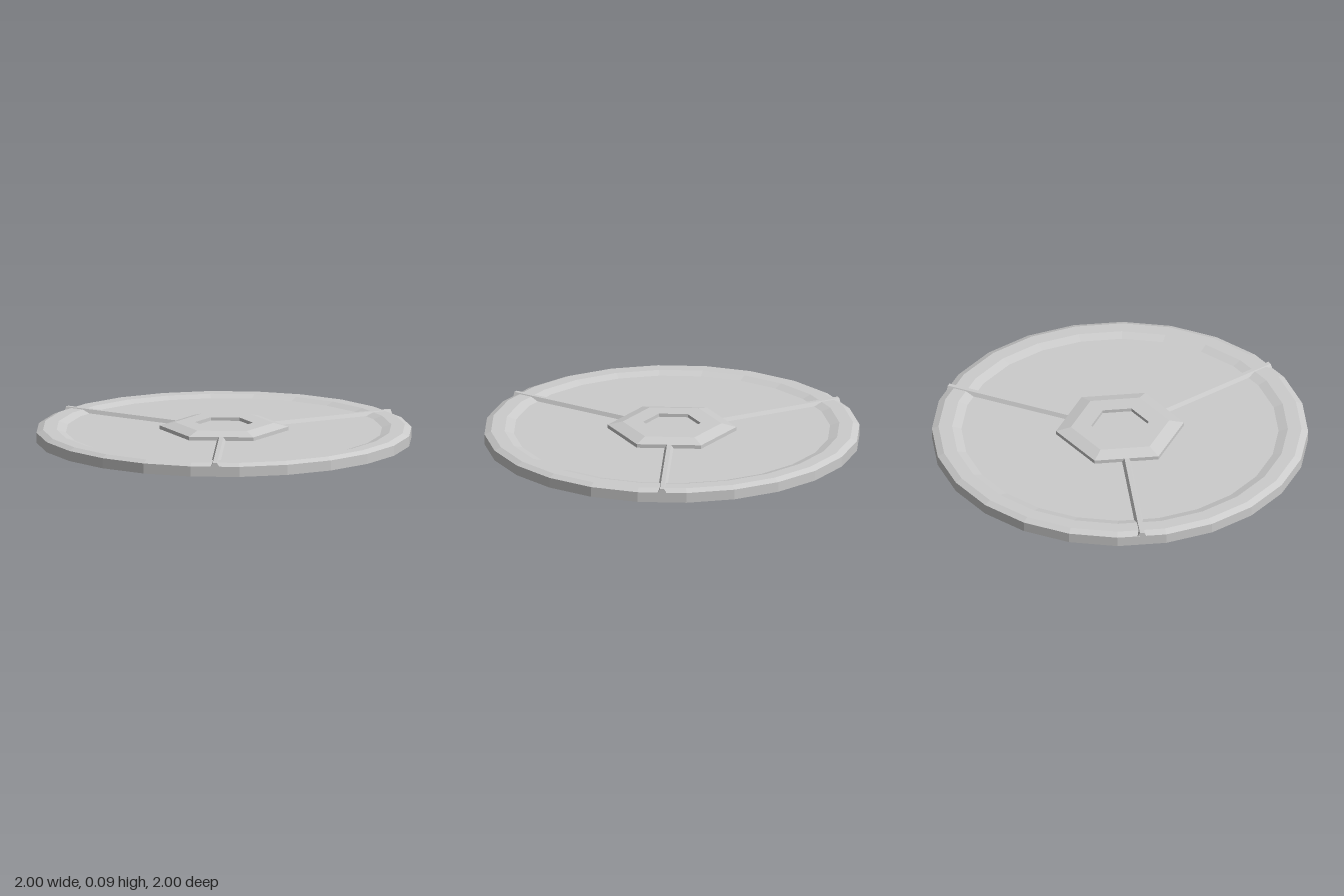
import * as THREE from 'three';

const material = new THREE.MeshStandardMaterial({
  color: 0xcccccc, flatShading: true, side: THREE.DoubleSide,
});

// Faceted turned part from [radius, height] pairs, listed from the outside in
function turned(name, profile, sides, startAngle) {
  const points = profile.map(([r, y]) => new THREE.Vector2(r, y));
  const mesh = new THREE.Mesh(new THREE.LatheGeometry(points, sides, startAngle), material);
  mesh.name = name;
  return mesh;
}

export function createModel() {
  const group = new THREE.Group();
  group.name = 'disc';
  const floorY = 0.055;

  // Thin shell, open below: side wall, chamfer, raised rim, sunken floor
  const R = 1 / Math.cos(Math.PI / 24);
  group.add(turned('plate', [
    [R, 0], [R, 0.055], [0.973, 0.07], [0.9, 0.07], [0.85, floorY], [0, floorY],
  ], 24, Math.PI / 24));

  // Hexagonal hub with bevelled top and a shallow recess
  group.add(turned('hub', [
    [0.345, floorY], [0.345, 0.075], [0.265, 0.095],
    [0.155, 0.095], [0.155, 0.077], [0, 0.077],
  ], 6, 0));

  // Three ribs of trapezoid section running from the centre to the edge
  const section = new THREE.Shape([
    new THREE.Vector2(-0.024, floorY + 0.0005),
    new THREE.Vector2(0.024, floorY + 0.0005),
    new THREE.Vector2(0.011, 0.075),
    new THREE.Vector2(-0.011, 0.075),
  ]);
  const ribGeometry = new THREE.ExtrudeGeometry(section, { depth: 1, bevelEnabled: false });
  for (let i = 0; i < 3; i++) {
    const rib = new THREE.Mesh(ribGeometry, material);
    rib.name = `rib${i + 1}`;
    rib.rotation.y = Math.PI / 2 + (i * Math.PI * 2) / 3;
    group.add(rib);
  }
  return group;
}
